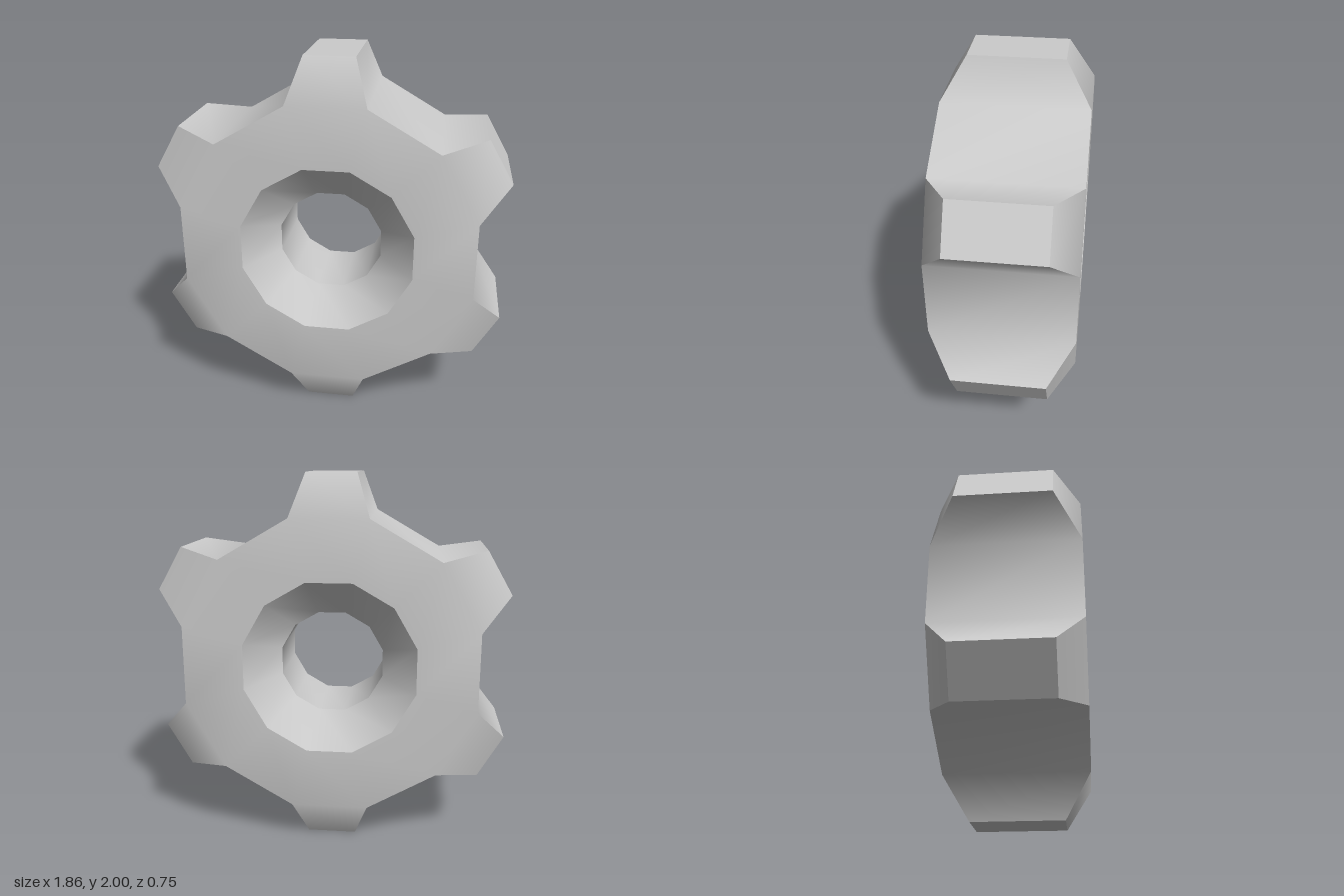
import * as THREE from 'three';
import { mergeVertices } from 'three/addons/utils/BufferGeometryUtils.js';

const TEETH = 6, N = TEETH * 2;

// Ring of point pairs, one pair per tooth, counter-clockwise seen from the front
function ring(r, half, z) {
  const pts = [];
  for (let k = 0; k < TEETH; k++) {
    for (const s of [-1, 1]) {
      const a = THREE.MathUtils.degToRad(90 + 60 * k + s * half);
      pts.push([r * Math.cos(a), r * Math.sin(a), z]);
    }
  }
  return pts;
}

// Quads joining two rows of points, closed into a loop if asked
function strip(a, b, closed = false) {
  const quads = [];
  for (let i = 0; i < a.length - (closed ? 0 : 1); i++) {
    const j = (i + 1) % a.length;
    quads.push([a[i], b[i], b[j], a[j]]);
  }
  return quads;
}

// The quads of a strip that lie on the teeth
const onTeeth = (a, b) => strip(a, b, true).filter((q, i) => i % 2 === 0);

export function createModel() {
  const group = new THREE.Group();
  group.name = 'gear';
  const material = new THREE.MeshStandardMaterial({ color: 0xcccccc });

  // One smooth surface per part; edges between parts stay sharp
  function add(name, quads) {
    const pos = quads.flatMap(([a, b, c, d]) => [a, b, c, a, c, d].flat());
    let geo = new THREE.BufferGeometry();
    geo.setAttribute('position', new THREE.Float32BufferAttribute(pos, 3));
    geo = mergeVertices(geo, 1e-4);
    geo.computeVertexNormals();
    const mesh = new THREE.Mesh(geo, material);
    mesh.name = name;
    mesh.position.y = 1;
    group.add(mesh);
  }

  // Rings at the front (+z) and back (-z)
  const [front, back] = [1, -1].map((s) => ({
    bore: ring(0.282, 15, 0.21 * s),
    hole: ring(0.472, 15, 0.373 * s),
    root: ring(0.804, 14.8, 0.373 * s),
    tip: ring(1.0086, 7.5, 0.24 * s),
  }));

  // Flat faces running out over the sloped teeth
  add('frontFace', [...strip(front.hole, front.root, true), ...onTeeth(front.root, front.tip)]);
  add('backFace', [...strip(back.root, back.hole, true), ...onTeeth(back.tip, back.root)]);

  // Flat ends of the teeth
  add('toothTips', onTeeth(front.tip, back.tip));

  // Valleys between the teeth, with the tooth flanks either side
  for (let i = 1; i < N; i += 2) {
    const j = (i + 1) % N;
    const row = (s) => [s.tip[i], s.root[i], s.root[j], s.tip[j]];
    add('valley', strip(row(front), row(back)));
  }

  // Centre hole: flared mouths and straight bore
  add('frontMouth', strip(front.bore, front.hole, true));
  add('backMouth', strip(back.hole, back.bore, true));
  add('bore', strip(back.bore, front.bore, true));

  return group;
}
